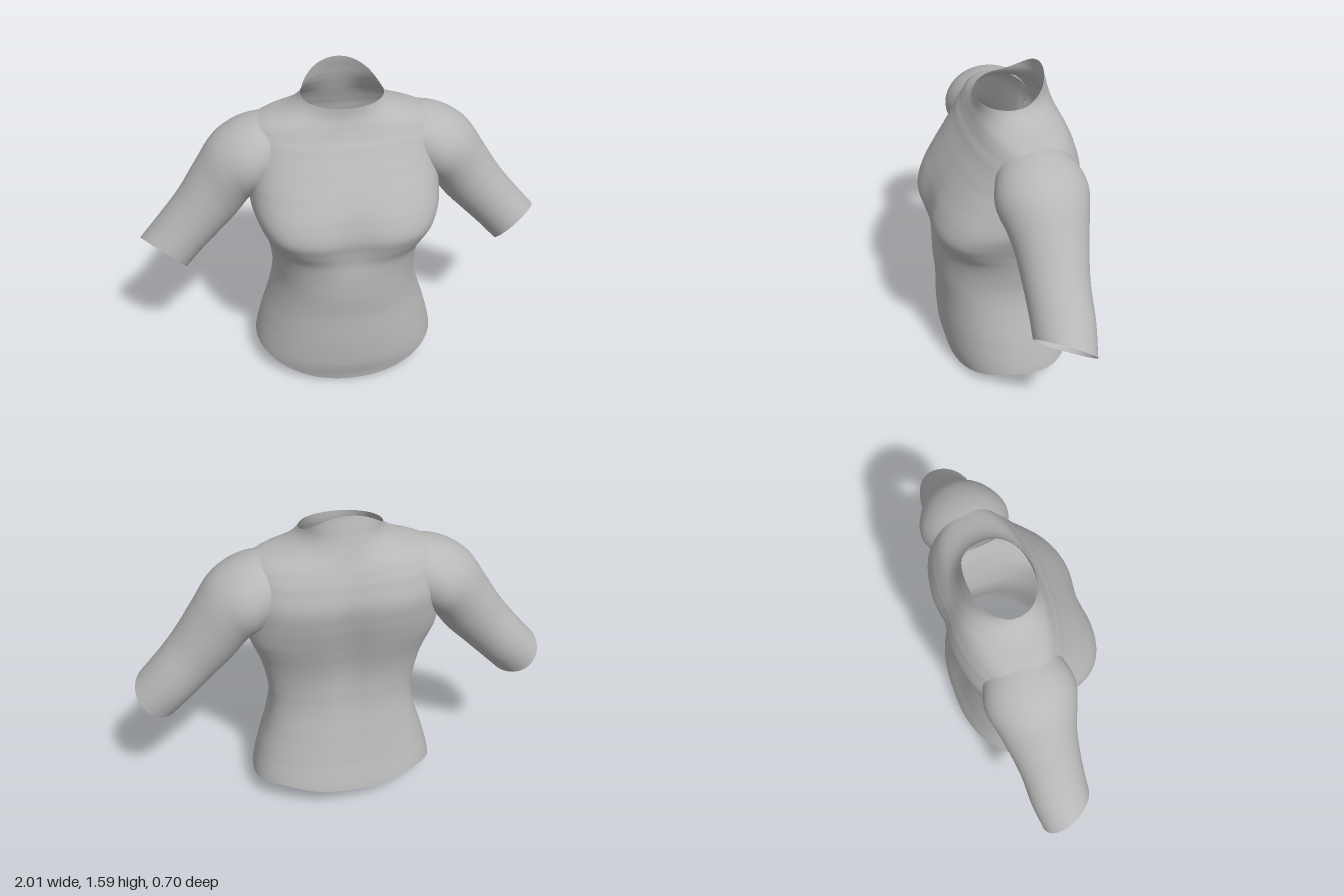
import * as THREE from 'three';

const fabric = new THREE.MeshStandardMaterial({ color: 0xb8b8b8, side: THREE.DoubleSide });
fabric.name = 'grey fabric';

// Smooth lookup in a table of rows: returns all columns at parameter t (Catmull-Rom)
function sampleRows(rows, i, k) {
  const at = (n) => rows[Math.min(Math.max(n, 0), rows.length - 1)];
  const [p, a, b, q] = [at(i - 1), at(i), at(i + 1), at(i + 2)];
  return a.map((v, c) => {
    const m0 = (b[c] - p[c]) / 2, m1 = (q[c] - v) / 2, d = b[c] - v;
    return v + k * (m0 + k * (3 * d - 2 * m0 - m1 + k * (m0 + m1 - 2 * d)));
  });
}

// Tube-like surface from a point function; cells rejected by keep() are left open
function loft(name, rows, cols, point, flip = false, keep = () => true) {
  const pos = [], index = [];
  for (let r = 0; r <= rows; r++)
    for (let c = 0; c < cols; c++) pos.push(...point(r / rows, (c / cols) * Math.PI * 2));
  for (let r = 0; r < rows; r++)
    for (let c = 0; c < cols; c++) {
      const n = (c + 1) % cols;
      const a = r * cols + c, b = r * cols + n, d = a + cols, e = b + cols;
      const mid = [0, 1, 2].map((k) => (pos[a * 3 + k] + pos[b * 3 + k] + pos[d * 3 + k] + pos[e * 3 + k]) / 4);
      if (!keep(mid)) continue;
      if (flip) index.push(a, b, d, b, e, d);
      else index.push(a, d, b, b, d, e);
    }
  const geo = new THREE.BufferGeometry();
  geo.setAttribute('position', new THREE.Float32BufferAttribute(pos, 3));
  geo.setIndex(index);
  geo.computeVertexNormals();
  const mesh = new THREE.Mesh(geo, fabric);
  mesh.name = name;
  return mesh;
}

// Torso sections: height, half width, front z, back z, front squareness, back squareness
const SECTIONS = [
  [0.0, 0.475, 0.275, -0.36, 2.2, 2.4],
  [0.11, 0.465, 0.3, -0.35, 2.2, 2.4],
  [0.25, 0.432, 0.31, -0.313, 2.2, 2.4],
  [0.42, 0.382, 0.31, -0.276, 2.3, 2.4],
  [0.55, 0.36, 0.32, -0.252, 2.3, 2.4],
  [0.66, 0.37, 0.322, -0.247, 2.3, 2.4],
  [0.74, 0.386, 0.325, -0.25, 2.5, 2.5],
  [0.81, 0.404, 0.343, -0.262, 3.1, 2.6],
  [0.88, 0.43, 0.36, -0.28, 3.4, 2.7],
  [0.96, 0.458, 0.342, -0.302, 3.1, 2.8],
  [1.06, 0.46, 0.293, -0.328, 2.8, 2.9],
  [1.18, 0.455, 0.222, -0.345, 2.5, 2.9],
  [1.29, 0.45, 0.158, -0.32, 2.3, 2.6],
  [1.345, 0.435, 0.128, -0.297, 2.1, 2.3],
  [1.375, 0.39, 0.116, -0.283, 2, 2.1],
  [1.4, 0.3, 0.106, -0.272, 2, 2],
  [1.425, 0.245, 0.101, -0.262, 2, 2],
  [1.455, 0.208, 0.1, -0.25, 2, 2],
  [1.49, 0.19, 0.1, -0.238, 2, 2],
  [1.59, 0.19, 0.1, -0.213, 2, 2],
];
const CENTRE_Z = -0.06;
const bell = (x, w) => Math.exp(-((x / w) ** 2));

function torsoPoint(t, angle) {
  const co = Math.cos(angle), si = Math.sin(angle);
  const f = Math.max(si, 0), b = Math.max(-si, 0);
  // Hem dips at the front, collar rises at the back
  const hem = 0.11 - 0.11 * f ** 2.5 + 0.03 * Math.sin(Math.PI * b * b);
  const collar = 1.475 - 0.015 * f + 0.11 * b ** 1.6;
  const y = hem + t * (collar - hem);
  let i = 0;
  while (i < SECTIONS.length - 2 && SECTIONS[i + 1][0] < y) i++;
  const k = (y - SECTIONS[i][0]) / (SECTIONS[i + 1][0] - SECTIONS[i][0]);
  const [, half, front, back, nf, nb] = sampleRows(SECTIONS, i, k);
  const p = 2 / (si > 0 ? nf : nb);
  const x = Math.sign(co) * half * Math.abs(co) ** p;
  let z = CENTRE_Z + (si > 0 ? front - CENTRE_Z : back - CENTRE_Z) * Math.abs(si) ** p;
  // Hollow between the breasts and along the spine
  if (si > 0) z -= 0.025 * bell(x, 0.1) * bell(y - 0.88, 0.13) * f;
  else z += 0.025 * bell(x, 0.08) * bell(y - 0.9, 0.45) * b;
  return [x, y, z];
}

// Sleeve rings: outer x,y - inner x,y - centre z, half depth, forward tilt x,y
const RINGS = [
  [0.34, 1.38, 0.37, 1.03, -0.08, 0.19, 0, 0],
  [0.44, 1.366, 0.42, 1.0, -0.08, 0.212, 0, 0],
  [0.535, 1.33, 0.44, 0.985, -0.08, 0.21, 0, 0],
  [0.625, 1.262, 0.468, 0.95, -0.08, 0.19, 0, 0],
  [0.71, 1.135, 0.53, 0.868, -0.077, 0.165, -0.01, 0.01],
  [0.8, 0.995, 0.62, 0.775, -0.07, 0.148, -0.02, 0.02],
  [0.9, 0.868, 0.72, 0.672, -0.067, 0.141, -0.035, 0.033],
  [0.995, 0.758, 0.805, 0.58, -0.055, 0.13, -0.05, 0.045],
];

function sleevePoint(side, t, angle) {
  const s = t * (RINGS.length - 1);
  const i = Math.min(Math.floor(s), RINGS.length - 2);
  const [ox, oy, ix, iy, cz, depth, tx, ty] = sampleRows(RINGS, i, s - i);
  const co = Math.cos(angle), si = Math.sin(angle);
  return [
    side * ((ox + ix) / 2 + (co * (ox - ix)) / 2 + si * tx),
    (oy + iy) / 2 + (co * (oy - iy)) / 2 + si * ty,
    cz + si * depth,
  ];
}

export function createModel() {
  const group = new THREE.Group();
  group.name = 'shirt';
  // Body with open hem, collar and armholes
  const outsideArmhole = ([x, y, z]) =>
    Math.abs(x) < 0.37 || ((y - 1.185) / 0.165) ** 2 + ((z + 0.08) / 0.185) ** 2 > 1;
  group.add(loft('body', 110, 128, torsoPoint, false, outsideArmhole));
  // Mirrored sleeves
  for (const side of [1, -1])
    group.add(loft(side > 0 ? 'leftSleeve' : 'rightSleeve', 42, 56,
      (t, a) => sleevePoint(side, t, a), side > 0));
  return group;
}
